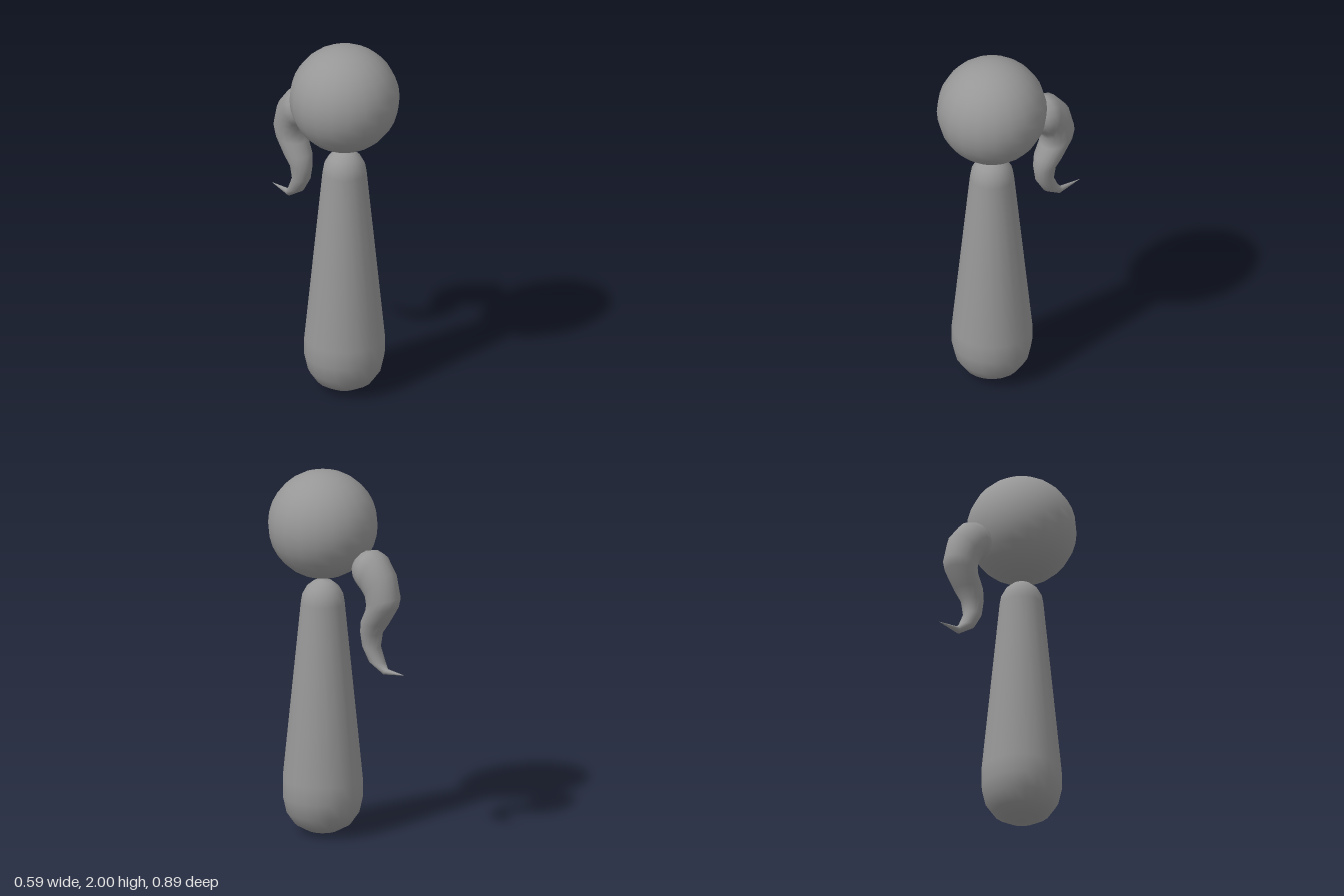
import * as THREE from 'three';

const material = new THREE.MeshStandardMaterial({ color: 0x979797 });
const FIGURE_Z = 0.151;

function addPart(group, name, geometry, y = 0, z = 0) {
  const mesh = new THREE.Mesh(geometry, material);
  mesh.name = name;
  mesh.position.set(0, y, z);
  group.add(mesh);
}

// Skin oval sections, each given by its lower/front edge and upper/back edge
// in the z-y plane and its half-width in x
function sweptSections(sections, sides) {
  const positions = [], index = [];
  sections.forEach(([az, ay, bz, by, halfWidth], i) => {
    const cz = (az + bz) / 2, cy = (ay + by) / 2;
    const uz = (bz - az) / 2, uy = (by - ay) / 2;
    for (let j = 0; j < sides; j++) {
      const t = (j / sides) * Math.PI * 2, c = Math.cos(t);
      positions.push(halfWidth * Math.sin(t), cy + uy * c, cz + uz * c);
      if (i === sections.length - 1) continue;
      const a = i * sides + j, b = i * sides + (j + 1) % sides;
      index.push(a, b, b + sides, a, b + sides, a + sides);
    }
  });
  const geometry = new THREE.BufferGeometry();
  geometry.setAttribute('position', new THREE.Float32BufferAttribute(positions, 3));
  geometry.setIndex(index);
  geometry.computeVertexNormals();
  return geometry;
}

export function createModel() {
  const group = new THREE.Group();

  // Round head floating just above the body
  addPart(group, 'head', new THREE.SphereGeometry(0.294, 20, 16), 1.706, FIGURE_Z);

  // Tapered body with rounded ends
  const profile = [
    [0, 0], [0.085, 0.013], [0.152, 0.051], [0.196, 0.115], [0.215, 0.2], [0.215, 0.3],
    [0.118, 1.27], [0.11, 1.316], [0.086, 1.36], [0.05, 1.389], [0, 1.4],
  ].map(([r, y]) => new THREE.Vector2(r, y));
  addPart(group, 'body', new THREE.LatheGeometry(profile, 20), 0, FIGURE_Z);

  // Ponytail curling from a blunt rounded root to a thin tip
  const tail = [
    [-0.103, 1.505, -0.103, 1.507, 0.001],
    [-0.113, 1.466, -0.124, 1.588, 0.062],
    [-0.145, 1.436, -0.166, 1.622, 0.095],
    [-0.177, 1.413, -0.213, 1.634, 0.11],
    [-0.19, 1.393, -0.269, 1.62, 0.105],
    [-0.2, 1.37, -0.348, 1.527, 0.096],
    [-0.198, 1.34, -0.388, 1.392, 0.09],
    [-0.193, 1.313, -0.374, 1.335, 0.087],
    [-0.156, 1.244, -0.309, 1.234, 0.077],
    [-0.145, 1.181, -0.267, 1.177, 0.061],
    [-0.156, 1.1, -0.256, 1.1, 0.05],
    [-0.203, 1.023, -0.293, 1.023, 0.043],
    [-0.3, 0.962, -0.32, 0.996, 0.018],
    [-0.443, 0.984, -0.443, 0.986, 0.001],
  ];
  addPart(group, 'ponytail', sweptSections(tail, 16));

  return group;
}
